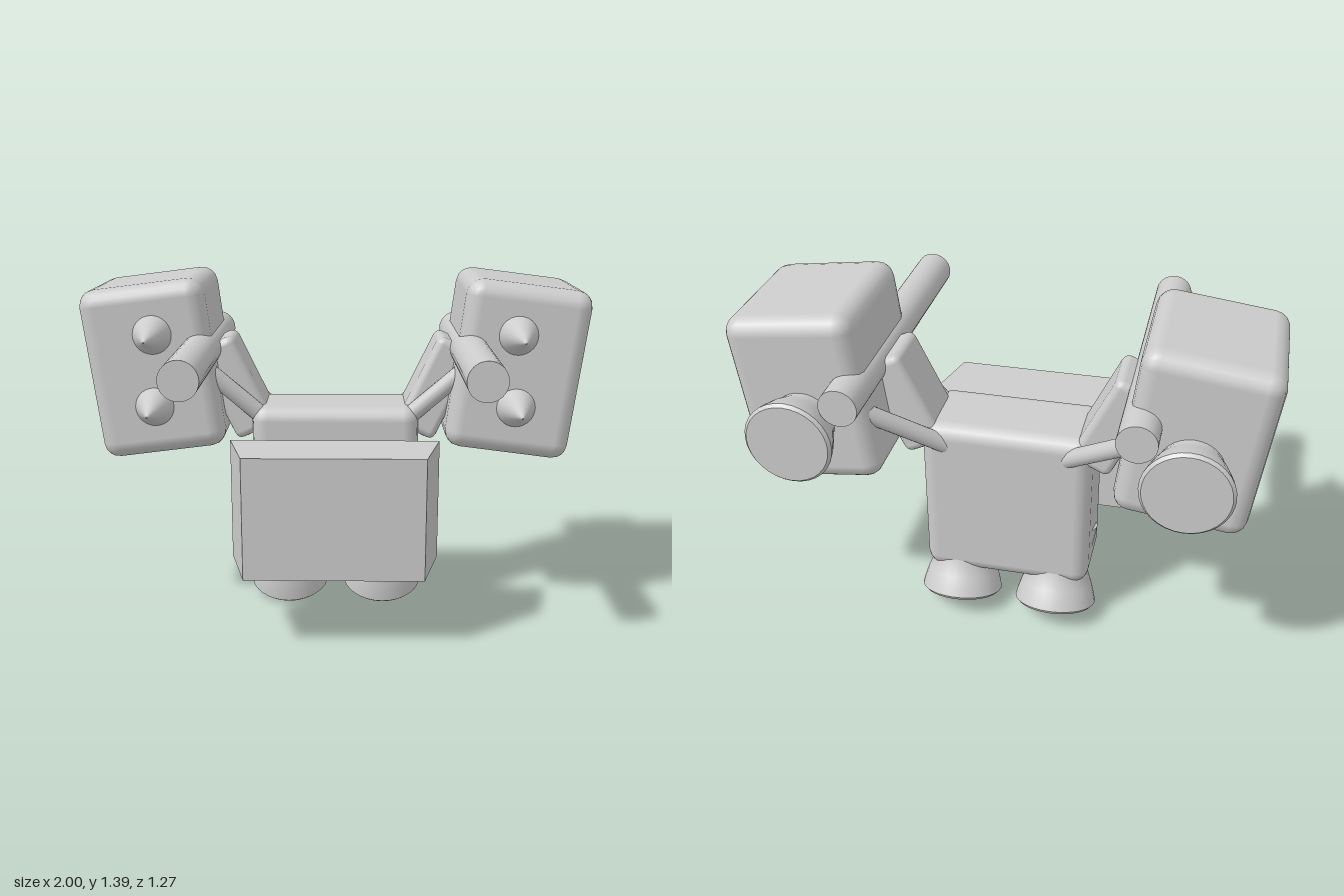
import * as THREE from 'three';
import { toCreasedNormals } from 'three/addons/utils/BufferGeometryUtils.js';
import { RoundedBoxGeometry } from 'three/addons/geometries/RoundedBoxGeometry.js';

export function createModel() {
  const model = new THREE.Group();
  model.name = 'thrusterRobot';
  const grey = new THREE.MeshStandardMaterial({ color: 0xcccccc });
  grey.name = 'plainGrey';

  function add(name, geometry, x, y, z) {
    const mesh = new THREE.Mesh(geometry, grey);
    mesh.name = name;
    mesh.position.set(x, y, z);
    model.add(mesh);
    return mesh;
  }

  // Straight rod between two points
  function addRod(name, a, b, radius) {
    const dir = b.clone().sub(a);
    const mid = a.clone().add(b).multiplyScalar(0.5);
    const rod = add(name, new THREE.CylinderGeometry(radius, radius, dir.length(), 20), mid.x, mid.y, mid.z);
    rod.quaternion.setFromUnitVectors(new THREE.Vector3(0, 1, 0), dir.normalize());
  }

  // Torso with softened edges
  add('torso', new RoundedBoxGeometry(0.67, 0.69, 0.33, 2, 0.06), 0, 0.545, -0.115);

  // Tapered block floating in front of the torso
  const outline = new THREE.Shape([
    new THREE.Vector2(-0.345, -0.425),
    new THREE.Vector2(0.345, -0.425),
    new THREE.Vector2(0.41, -0.155),
    new THREE.Vector2(-0.41, -0.155),
  ]);
  const block = new THREE.ExtrudeGeometry(outline, { depth: 0.48, bevelEnabled: false });
  block.rotateX(-Math.PI / 2);
  add('frontBlock', block, 0, 0.305, 0);

  // Shared nozzle: rim at the origin, waist, then a flare buried in the part it serves
  const profile = [
    [0, 0], [0.155, 0], [0.166, 0.012], [0.16, 0.04], [0.145, 0.09],
    [0.118, 0.16], [0.125, 0.19], [0.148, 0.342], [0, 0.342],
  ].map(([r, h]) => new THREE.Vector2(r, h));
  const nozzle = toCreasedNormals(new THREE.LatheGeometry(profile, 32), 0.7);

  const podShape = new RoundedBoxGeometry(0.495, 0.675, 0.57, 2, 0.065);
  const armShape = new RoundedBoxGeometry(0.17, 0.4, 0.24, 2, 0.03);
  const barrelShape = new THREE.CylinderGeometry(0.073, 0.073, 1.215, 32);
  const spikeShape = new THREE.ConeGeometry(0.08, 0.2, 28);

  for (const [side, s] of [['left', 1], ['right', -1]]) {
    // Shoulder pod leaning outwards
    add(side + 'Pod', podShape, s * 0.72, 1.045, -0.185).rotation.z = -s * 0.126;

    // Arm joining torso and pod
    add(side + 'Arm', armShape, s * 0.407, 0.953, -0.14).rotation.z = -s * 0.447;

    // Barrel running front to back
    add(side + 'Barrel', barrelShape, s * 0.53, 1.117, 0.0275).rotation.x = Math.PI / 2;

    // Pair of spikes on the pod front
    for (const y of [1.19, 0.905]) {
      add(side + 'Spike', spikeShape, s * 0.71, y, 0.19).rotation.x = Math.PI / 2;
    }

    // Thruster behind the pod and nozzle foot
    add(side + 'Thruster', nozzle, s * 0.713, 0.975, -0.635).rotation.x = Math.PI / 2;
    add(side + 'Foot', nozzle, s * 0.2, 0.065, -0.22).rotation.x = 0.343;

    // Bracing rods in front of and behind the arm
    addRod(side + 'FrontRod', new THREE.Vector3(s * 0.25, 0.8, -0.03), new THREE.Vector3(s * 0.52, 1.05, 0.03), 0.035);
    addRod(side + 'BackRod', new THREE.Vector3(s * 0.24, 0.8, -0.25), new THREE.Vector3(s * 0.52, 1.02, -0.42), 0.035);
  }

  return model;
}
